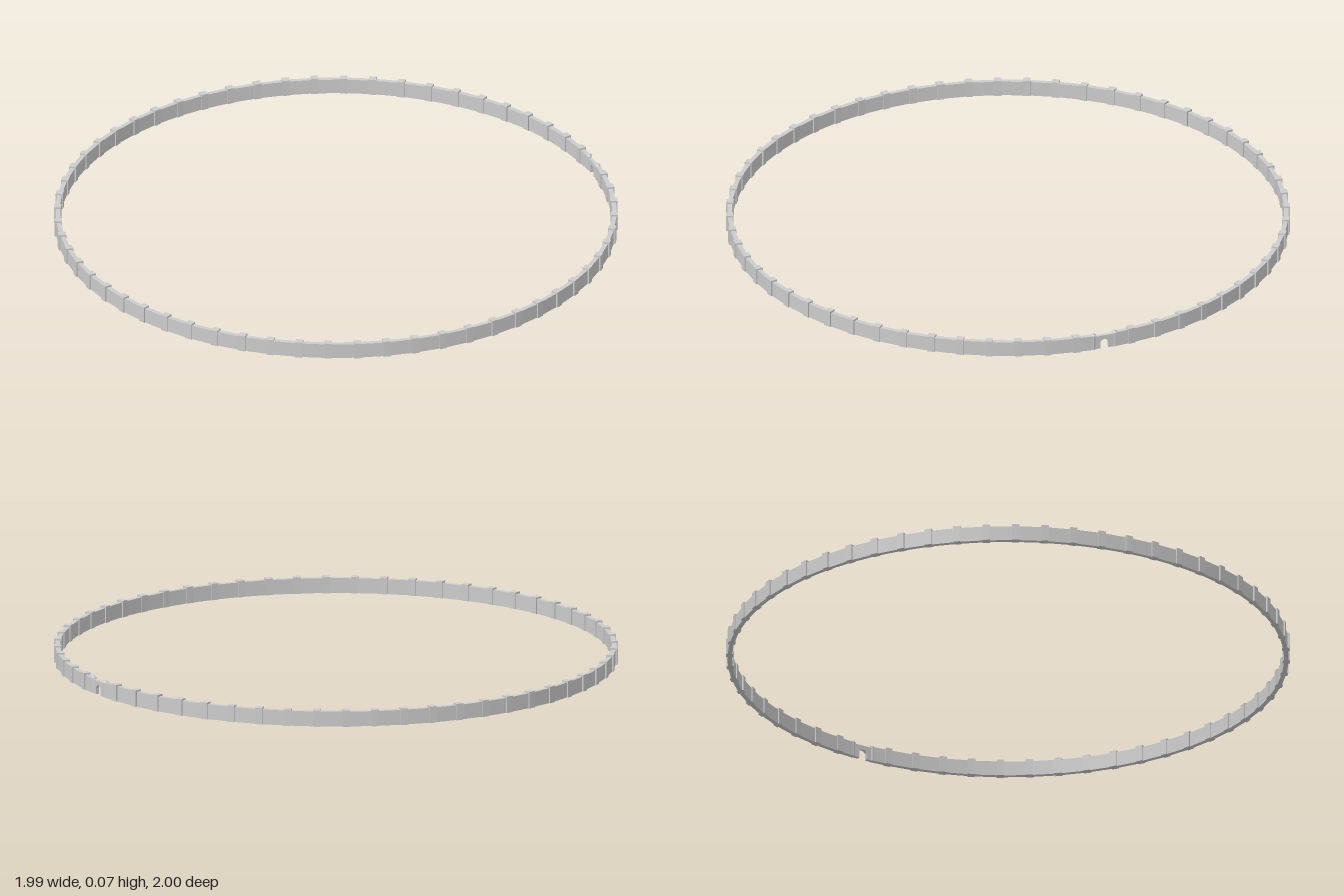
import * as THREE from 'three';

const R = 0.985;          // radius of the post circle
const COUNT = 60;         // posts around the ring
const STEP = (Math.PI * 2) / COUNT;
const WALL_H = 0.054, WALL_T = 0.016;
const POST_H = 0.06, POST_W = 0.026;
const GATE_Z = 0.04;      // half distance between gate towers

const mat = new THREE.MeshStandardMaterial({ color: 0xcccccc, flatShading: true });

function add(parent, name, geometry, x, y, z, turn = 0) {
  const mesh = new THREE.Mesh(geometry, mat);
  mesh.name = name;
  mesh.position.set(x, y, z);
  mesh.rotation.y = turn;
  parent.add(mesh);
  return mesh;
}

// Straight wall panel between two ground points [x, z]
function wallBetween(parent, a, b) {
  const dx = b[0] - a[0], dz = b[1] - a[1];
  add(parent, 'wallPanel', new THREE.BoxGeometry(Math.hypot(dx, dz), WALL_H, WALL_T),
    (a[0] + b[0]) / 2, WALL_H / 2, (a[1] + b[1]) / 2, -Math.atan2(dz, dx));
}

const onRing = (i) => [R * Math.cos(i * STEP), R * Math.sin(i * STEP)];

// Gate on the +x side: arched panel between two pointed towers
function createGate() {
  const gate = new THREE.Group();
  gate.name = 'gate';
  const h = 0.05, open = 0.015, spring = 0.02, depth = 0.012;
  const shape = new THREE.Shape();
  shape.moveTo(-GATE_Z, 0);
  shape.lineTo(-open, 0);
  shape.lineTo(-open, spring);
  shape.absarc(0, spring, open, Math.PI, 0, true);
  shape.lineTo(open, 0);
  shape.lineTo(GATE_Z, 0);
  shape.lineTo(GATE_Z, h);
  shape.lineTo(-GATE_Z, h);
  shape.closePath();
  const panel = new THREE.ExtrudeGeometry(shape, { depth, bevelEnabled: false, curveSegments: 10 });
  panel.translate(0, 0, -depth / 2);
  add(gate, 'gateArch', panel, R, 0, 0, Math.PI / 2);
  for (const side of [-1, 1]) {
    add(gate, 'gateTower', new THREE.CylinderGeometry(0.009, 0.009, 0.054, 8), R, 0.027, side * GATE_Z);
    add(gate, 'gateTowerRoof', new THREE.ConeGeometry(0.011, 0.012, 8), R, 0.06, side * GATE_Z);
    // wall joining the tower to the nearest post
    wallBetween(gate, [R, side * GATE_Z], onRing(side));
  }
  return gate;
}

export function createModel() {
  const model = new THREE.Group();
  model.name = 'ringWall';
  const postGeo = new THREE.BoxGeometry(POST_W, POST_H, POST_W);

  // Posts and wall panels all round, leaving the gate gap at index 0
  for (let i = 1; i < COUNT; i++) {
    const [x, z] = onRing(i);
    add(model, 'post', postGeo, x, POST_H / 2, z, -i * STEP);
    if (i < COUNT - 1) wallBetween(model, onRing(i), onRing(i + 1));
  }
  model.add(createGate());
  return model;
}
